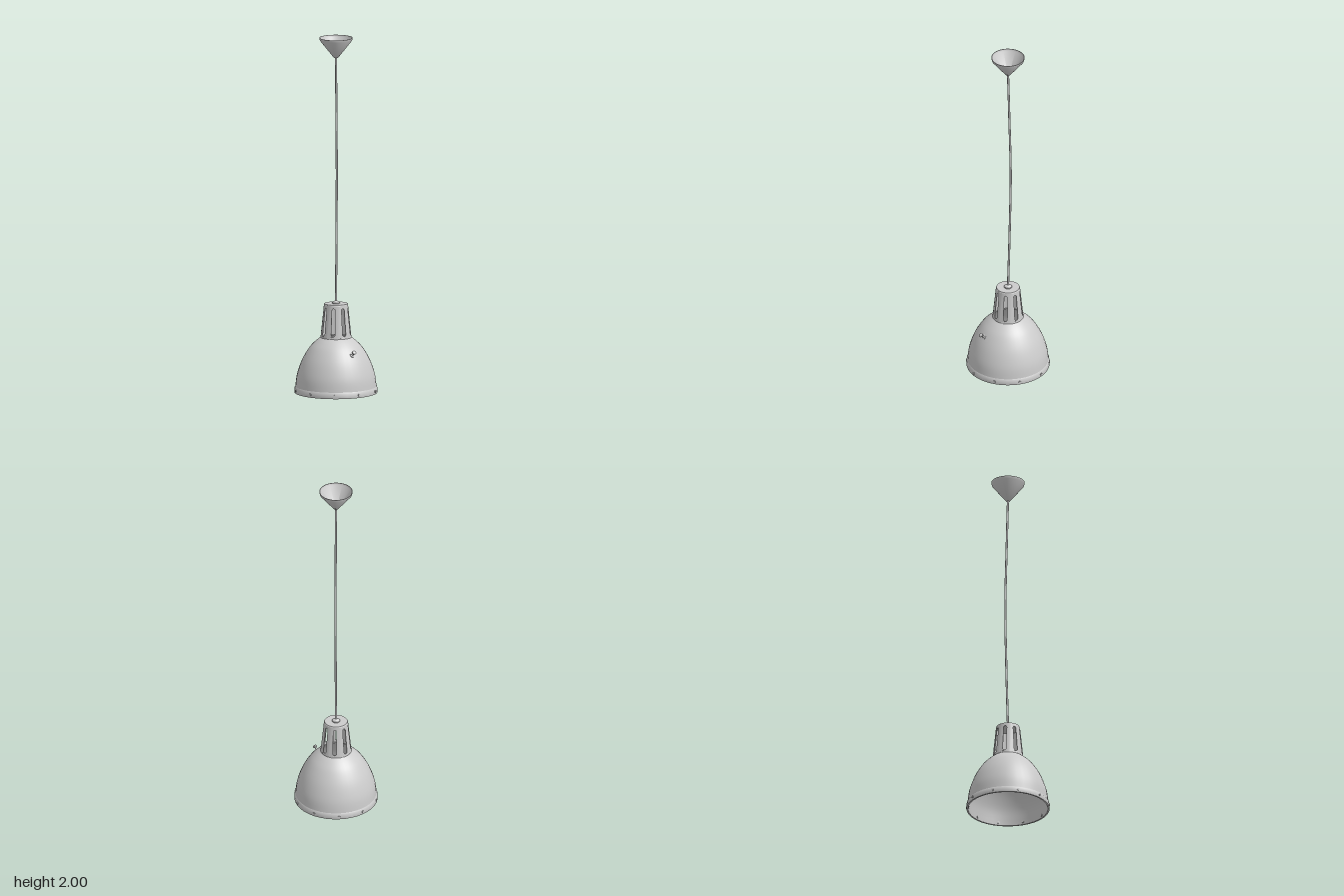
import * as THREE from 'three';
import { mergeGeometries, toCreasedNormals } from 'three/addons/utils/BufferGeometryUtils.js';

const material = new THREE.MeshStandardMaterial({ color: 0xcccccc, side: THREE.DoubleSide });

function add(parent, name, geometry) {
  const mesh = new THREE.Mesh(geometry, material);
  mesh.name = name;
  parent.add(mesh);
  return mesh;
}

// Turned part; the profile is [radius, height] pairs, going up on the outside
function turned(profile, sides = 40) {
  const points = profile.map(([r, y]) => new THREE.Vector2(r, y));
  return toCreasedNormals(new THREE.LatheGeometry(points, sides), 0.6);
}

// Conical sleeve: flat panels with a rounded slot, wrapped around the axis
function slottedSleeve(y0, y1, r0, r1, wall, count) {
  const half = Math.PI / count, steps = 6, slot = 0.13, low = 0.025, high = 0.16;
  const height = y1 - y0;
  const shape = new THREE.Shape();
  shape.moveTo(-half, 0);
  for (let i = 1; i <= steps; i++) shape.lineTo(-half + (2 * half * i) / steps, 0);
  for (let i = 0; i <= steps; i++) shape.lineTo(half - (2 * half * i) / steps, height);
  const hole = new THREE.Path();
  const ends = [[high, 0], [low, Math.PI]];
  const outline = [];
  for (const [y, start] of ends) {
    for (let i = 0; i <= 6; i++) {
      const a = start + (Math.PI * i) / 6;
      outline.push(new THREE.Vector2(slot * Math.cos(a), y + 0.01 * Math.sin(a)));
    }
  }
  hole.setFromPoints(outline);
  shape.holes.push(hole);
  const panels = [];
  for (let k = 0; k < count; k++) {
    const panel = new THREE.ExtrudeGeometry(shape, { depth: wall, bevelEnabled: false });
    const p = panel.attributes.position;
    for (let i = 0; i < p.count; i++) {
      const angle = p.getX(i) + 2 * half * k, y = p.getY(i);
      const r = r0 + ((r1 - r0) * y) / height - wall + p.getZ(i);
      p.setXYZ(i, r * Math.sin(angle), y0 + y, r * Math.cos(angle));
    }
    panels.push(panel);
  }
  return toCreasedNormals(mergeGeometries(panels), 0.6);
}

export function createModel() {
  const lamp = new THREE.Group();
  lamp.name = 'pendantLamp';

  // Ceiling cup, open at the top
  add(lamp, 'ceilingCup', turned([
    [0.006, 1.885], [0.013, 1.888], [0.09, 1.985], [0.093, 2], [0.09, 2],
    [0.087, 1.987], [0.011, 1.892], [0.006, 1.892],
  ]));

  // Slightly bowed cord
  const cordPath = new THREE.CatmullRomCurve3([
    [0, 1.9, 0], [0.006, 1.6, -0.005], [0.012, 1.24, -0.01], [0.007, 0.85, -0.006], [0, 0.5, 0],
  ].map((p) => new THREE.Vector3(...p)));
  add(lamp, 'cord', new THREE.TubeGeometry(cordPath, 32, 0.006, 10));

  // Vented neck with its lid and cord grip
  add(lamp, 'ventedNeck', slottedSleeve(0.31, 0.495, 0.086, 0.067, 0.004, 8));
  add(lamp, 'neckLid', turned([
    [0, 0.49], [0.066, 0.49], [0.067, 0.495], [0.064, 0.5], [0, 0.5],
  ]));
  add(lamp, 'cordGrip', turned([
    [0.022, 0.498], [0.022, 0.506], [0.016, 0.512], [0.006, 0.516],
  ], 20));

  // Domed shade, one closed thin wall
  const domeCurve = new THREE.SplineCurve([
    [0.226, 0.03], [0.217, 0.1], [0.189, 0.182], [0.15, 0.249], [0.115, 0.287], [0.083, 0.312],
  ].map((p) => new THREE.Vector2(...p)));
  const outer = domeCurve.getPoints(20).map((p) => [p.x, p.y]);
  const inner = outer.map(([r, y]) => [r - 0.004, y - 0.003]).reverse();
  add(lamp, 'shade', turned([...outer, ...inner, outer[0]]));

  // Rim band
  add(lamp, 'rimBand', turned([
    [0.222, 0], [0.231, 0], [0.232, 0.004], [0.23, 0.028], [0.225, 0.036],
    [0.219, 0.036], [0.222, 0],
  ]));

  // Rivets through the rim
  const rivets = new THREE.Group();
  rivets.name = 'rimRivets';
  lamp.add(rivets);
  for (let i = 0; i < 10; i++) {
    const a = (i * Math.PI) / 5;
    const rivet = add(rivets, 'rivet', new THREE.CylinderGeometry(0.007, 0.007, 0.018, 12));
    rivet.position.set(0.2255 * Math.sin(a), 0.016, 0.2255 * Math.cos(a));
    rivet.rotation.set(Math.PI / 2, 0, -a);
  }

  // Switch knob standing square to the front of the shade
  const knob = add(lamp, 'switchKnob', turned([
    [0, -0.006], [0.013, -0.006], [0.013, 0.005], [0.006, 0.008], [0.005, 0.02],
    [0.011, 0.026], [0.012, 0.032], [0.007, 0.036], [0, 0.037],
  ], 16));
  knob.position.set(0, 0.229, 0.16);
  knob.rotation.x = 0.85;
  return lamp;
}
